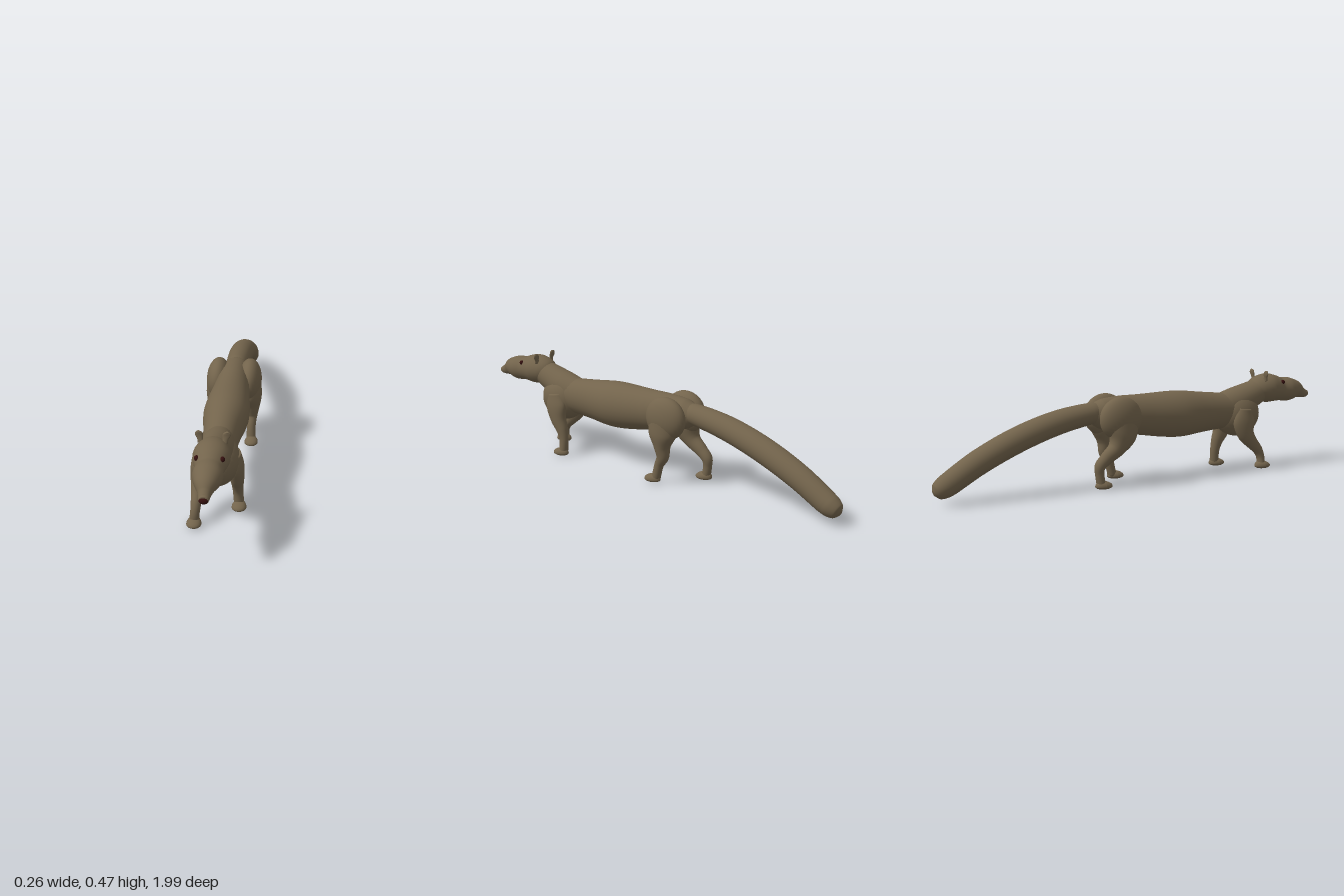
import * as THREE from 'three';

const fur = new THREE.MeshStandardMaterial({ color: 0x73644c });
fur.name = 'brownFur';
const dark = new THREE.MeshStandardMaterial({ color: 0x34100f });
dark.name = 'darkRed';

// Smooth body through stations [x, y, z, half width in x, half depth across the path]
function loft(stations, steps = 8, sides = 28) {
  const path = new THREE.CatmullRomCurve3(stations.map(s => new THREE.Vector3(s[0], s[1], s[2])));
  const size = new THREE.CatmullRomCurve3(stations.map((s, i) => new THREE.Vector3(s[3], s[4], i * 0.1)));
  const rings = (stations.length - 1) * steps;
  const pos = [], index = [];
  for (let i = 0; i <= rings; i++) {
    const p = path.getPoint(i / rings), r = size.getPoint(i / rings), t = path.getTangent(i / rings);
    const n = new THREE.Vector3(0, t.z, -t.y).normalize();
    for (let j = 0; j < sides; j++) {
      const a = j / sides * Math.PI * 2, c = Math.cos(a) * r.x, s = Math.sin(a) * r.y;
      pos.push(p.x + c, p.y + n.y * s, p.z + n.z * s);
    }
  }
  for (let i = 0; i < rings; i++) {
    for (let j = 0; j < sides; j++) {
      const k = (j + 1) % sides, a = i * sides, b = a + sides;
      index.push(a + j, a + k, b + k, a + j, b + k, b + j);
    }
  }
  // End caps
  const first = (rings + 1) * sides, last = rings * sides;
  pos.push(...path.getPoint(0).toArray(), ...path.getPoint(1).toArray());
  for (let j = 0; j < sides; j++) {
    const k = (j + 1) % sides;
    index.push(first, k, j, first + 1, last + j, last + k);
  }
  const g = new THREE.BufferGeometry();
  g.setAttribute('position', new THREE.Float32BufferAttribute(pos, 3));
  g.setIndex(index);
  g.computeVertexNormals();
  return g;
}

function ellipsoid(x, y, z, rx, ry, rz) {
  return new THREE.SphereGeometry(1, 32, 22).scale(rx, ry, rz).translate(x, y, z);
}

// Paw: wide at the toes, flat underneath
function paw(x, z) {
  const g = new THREE.SphereGeometry(1, 24, 16);
  const p = g.attributes.position;
  for (let i = 0; i < p.count; i++) {
    const f = p.getZ(i), y = p.getY(i);
    p.setXYZ(i, x + p.getX(i) * (0.031 + 0.005 * f),
      0.017 + y * (y < 0 ? 0.014 : 0.024 - 0.005 * f), z + f * 0.041);
  }
  g.computeVertexNormals();
  return g;
}

export function createModel() {
  const model = new THREE.Group();
  const add = (name, geometry, material = fur) => {
    const mesh = new THREE.Mesh(geometry, material);
    mesh.name = name;
    model.add(mesh);
  };

  // Trunk
  add('torso', loft([
    [0, 0.33, -0.24, 0.045, 0.045], [0, 0.325, -0.2, 0.062, 0.066], [0, 0.317, -0.1, 0.072, 0.083],
    [0, 0.307, 0, 0.082, 0.093], [0, 0.294, 0.2, 0.1, 0.108], [0, 0.291, 0.36, 0.082, 0.094],
    [0, 0.289, 0.46, 0.074, 0.086], [0, 0.288, 0.57, 0.07, 0.08]]));
  add('chest', ellipsoid(0, 0.268, 0.555, 0.094, 0.108, 0.118));
  add('neck', loft([
    [0, 0.295, 0.47, 0.066, 0.078], [0, 0.318, 0.55, 0.072, 0.078],
    [0, 0.345, 0.62, 0.066, 0.068], [0, 0.375, 0.7, 0.058, 0.056]]));

  // Head and tapering muzzle
  add('head', loft([
    [0, 0.375, 0.636, 0.012, 0.012], [0, 0.376, 0.65, 0.045, 0.044], [0, 0.379, 0.685, 0.066, 0.062],
    [0, 0.38, 0.735, 0.075, 0.07], [0, 0.375, 0.78, 0.066, 0.064], [0, 0.369, 0.815, 0.057, 0.057],
    [0, 0.366, 0.865, 0.06, 0.058], [0, 0.361, 0.915, 0.046, 0.045], [0, 0.346, 0.95, 0.028, 0.03],
    [0, 0.337, 0.975, 0.022, 0.021], [0, 0.336, 0.99, 0.019, 0.016]]));
  add('nose', ellipsoid(0, 0.335, 0.988, 0.018, 0.013, 0.012), dark);

  // Tail
  add('tail', loft([
    [0, 0.333, -0.2, 0.042, 0.042], [0, 0.33, -0.25, 0.05, 0.048], [0, 0.302, -0.42, 0.056, 0.054],
    [0, 0.244, -0.61, 0.058, 0.056], [0, 0.165, -0.79, 0.056, 0.054], [0, 0.09, -0.92, 0.051, 0.05],
    [0, 0.075, -0.948, 0.047, 0.046], [0, 0.062, -0.975, 0.034, 0.034], [0, 0.056, -0.988, 0.012, 0.012]]));

  // Paired parts; the left (+x) and right (-x) legs stand in different strides
  for (const side of [1, -1]) {
    const label = side > 0 ? 'left' : 'right';
    const leg = stations => loft(stations.map(([x, ...rest]) => [x * side, ...rest]));

    add(label + 'Eye', ellipsoid(side * 0.05, 0.408, 0.8, 0.01, 0.011, 0.011), dark);
    add(label + 'Ear', leg([
      [0.046, 0.42, 0.695, 0.013, 0.008], [0.05, 0.437, 0.693, 0.012, 0.006],
      [0.054, 0.451, 0.691, 0.016, 0.006], [0.055, 0.462, 0.691, 0.014, 0.006],
      [0.056, 0.469, 0.693, 0.006, 0.004]]));
    add(label + 'Haunch', ellipsoid(side * 0.072, 0.308, -0.135, 0.055, 0.097, 0.104));

    // Hind leg
    add(label + 'HindLeg', leg(side > 0 ? [
      [0.075, 0.31, -0.13, 0.05, 0.08], [0.08, 0.235, -0.125, 0.049, 0.07], [0.083, 0.18, -0.125, 0.037, 0.04],
      [0.083, 0.13, -0.128, 0.027, 0.029], [0.083, 0.09, -0.108, 0.021, 0.022], [0.084, 0.02, -0.09, 0.022, 0.02]
    ] : [
      [0.075, 0.31, -0.13, 0.05, 0.08], [0.08, 0.235, -0.135, 0.049, 0.07], [0.083, 0.18, -0.165, 0.037, 0.041],
      [0.084, 0.14, -0.215, 0.028, 0.03], [0.084, 0.105, -0.25, 0.024, 0.025],
      [0.085, 0.07, -0.252, 0.02, 0.021], [0.086, 0.02, -0.245, 0.022, 0.02]]));
    add(label + 'HindPaw', paw(side * 0.086, side > 0 ? -0.073 : -0.233));

    // Front leg
    add(label + 'FrontLeg', leg(side > 0 ? [
      [0.07, 0.3, 0.55, 0.026, 0.04], [0.076, 0.24, 0.54, 0.033, 0.058], [0.079, 0.18, 0.525, 0.031, 0.044],
      [0.079, 0.13, 0.502, 0.026, 0.031], [0.08, 0.085, 0.49, 0.022, 0.023], [0.085, 0.02, 0.489, 0.022, 0.02]
    ] : [
      [0.07, 0.3, 0.55, 0.026, 0.04], [0.076, 0.24, 0.545, 0.033, 0.058], [0.079, 0.18, 0.555, 0.031, 0.044],
      [0.079, 0.135, 0.59, 0.026, 0.031], [0.08, 0.095, 0.627, 0.022, 0.024],
      [0.083, 0.06, 0.642, 0.02, 0.02], [0.086, 0.02, 0.643, 0.022, 0.02]]));
    add(label + 'FrontPaw', paw(side * 0.086, side > 0 ? 0.503 : 0.651));
  }
  return model;
}
